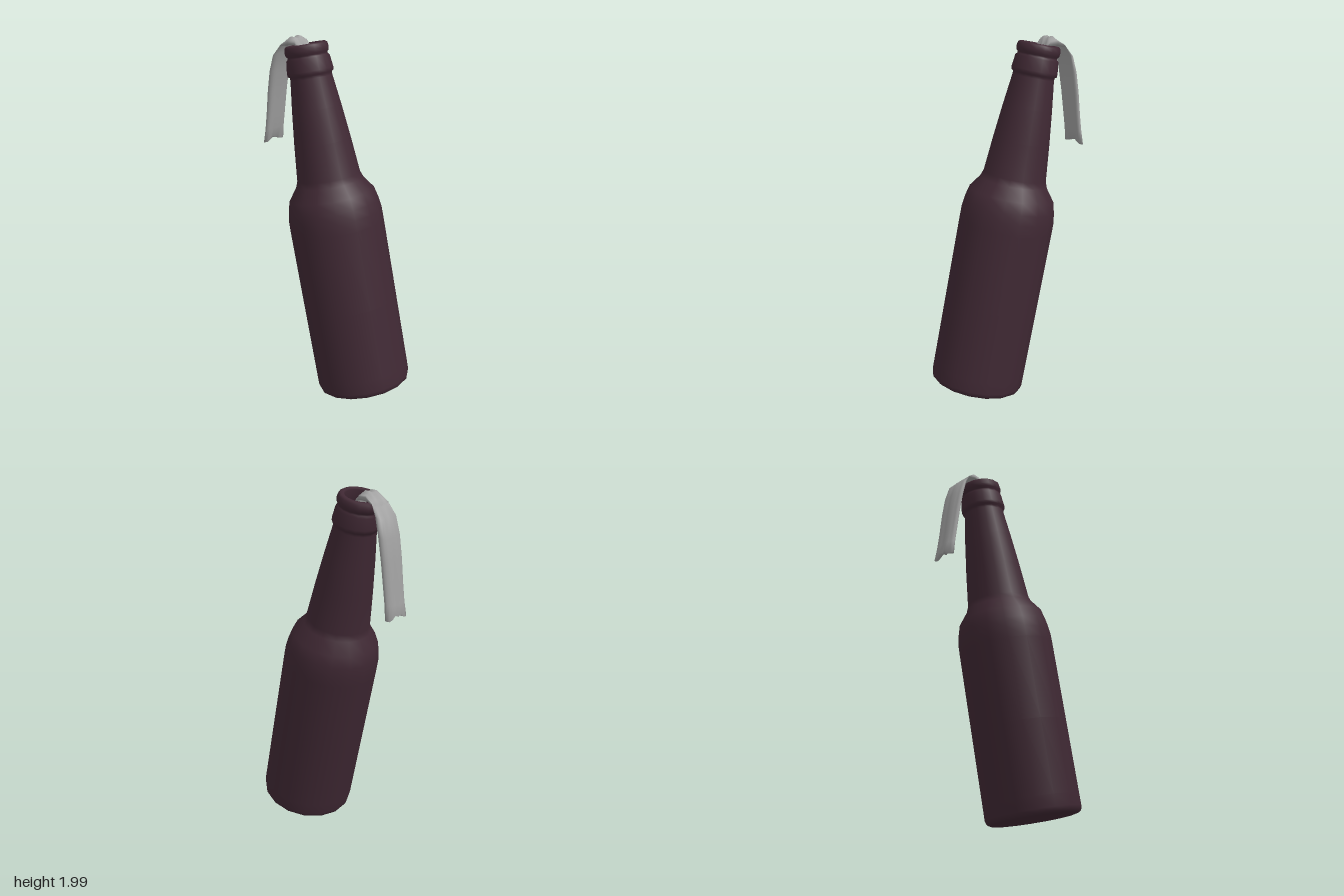
import * as THREE from 'three';

// Bottle profile: [radius, height along the axis], outside up, then down the inside of the neck
const PROFILE = [
  [0, 0], [0.15, 0], [0.225, 0], [0.243, 0.004], [0.256, 0.014], [0.262, 0.035], [0.262, 0.1],
  [0.262, 0.5], [0.262, 0.95], [0.261, 1.01], [0.253, 1.065], [0.237, 1.128], [0.188, 1.195], [0.175, 1.23],
  [0.156, 1.427], [0.135, 1.612], [0.114, 1.775], [0.114, 1.79],
  [0.125, 1.797], [0.126, 1.815], [0.118, 1.878], [0.109, 1.888], [0.109, 1.897],
  [0.117, 1.906], [0.12, 1.925], [0.116, 1.947], [0.106, 1.956],
  [0.09, 1.956], [0.082, 1.948], [0.08, 1.9], [0.085, 1.75], [0.11, 1.6], [0, 1.59],
];

// Rag sections: [z, y, half width, half thickness]
const RAG = [
  [-0.155, 1.76, 0.040, 0.028], [-0.168, 1.86, 0.044, 0.028], [-0.195, 1.93, 0.047, 0.026],
  [-0.235, 1.968, 0.050, 0.023], [-0.285, 1.968, 0.052, 0.022], [-0.335, 1.942, 0.056, 0.023],
  [-0.375, 1.885, 0.066, 0.023], [-0.402, 1.79, 0.069, 0.023], [-0.423, 1.67, 0.068, 0.022],
  [-0.440, 1.54, 0.066, 0.021], [-0.453, 1.45, 0.066, 0.021], [-0.464, 1.395, 0.073, 0.018],
];

function ragGeometry() {
  const sides = 20, pos = [], index = [];
  const last = RAG.length - 1;
  RAG.forEach(([z, y, w, th], i) => {
    const a = RAG[Math.max(i - 1, 0)], b = RAG[Math.min(i + 1, last)];
    const len = Math.hypot(b[0] - a[0], b[1] - a[1]);
    const tz = (b[0] - a[0]) / len, ty = (b[1] - a[1]) / len;
    for (let k = 0; k < sides; k++) {
      const ang = (k / sides) * Math.PI * 2;
      const c = Math.cos(ang), s = Math.sin(ang);
      // folds run along the cloth and are deepest near the mouth
      const fold = (i < 5 ? 0.3 : 0.14) * Math.cos(c * 7 + i * 0.25);
      const n = th * (Math.sign(s) * Math.pow(Math.abs(s), 0.7) + fold);
      // loose corners at the hanging end
      const droop = i === last ? 0.03 * c * c + 0.008 * Math.cos(c * 9) : 0;
      pos.push(w * c, y + tz * n - droop, z - ty * n * -1);
    }
  });
  for (let i = 0; i < last; i++) {
    for (let k = 0; k < sides; k++) {
      const p = i * sides + k, q = i * sides + (k + 1) % sides;
      index.push(p, p + sides, q, q, p + sides, q + sides);
    }
  }
  // end caps
  const [z0, y0] = RAG[0], [z1, y1] = RAG[last];
  pos.push(0, y0, z0, 0, y1 - 0.005, z1);
  const c0 = RAG.length * sides, c1 = c0 + 1;
  for (let k = 0; k < sides; k++) {
    const k2 = (k + 1) % sides;
    index.push(c0, k, k2, c1, last * sides + k2, last * sides + k);
  }
  const g = new THREE.BufferGeometry();
  g.setAttribute('position', new THREE.Float32BufferAttribute(pos, 3));
  g.setIndex(index);
  g.computeVertexNormals();
  return g;
}

export function createModel() {
  const glass = new THREE.MeshStandardMaterial({ color: 0x3f2833 });
  glass.name = 'dark plum glass';
  const cloth = new THREE.MeshStandardMaterial({ color: 0xa0a0a0, side: THREE.DoubleSide });
  cloth.name = 'grey cloth';

  const model = new THREE.Group();
  model.name = 'bottleWithRag';

  // Bottle, leaning back
  const bottle = new THREE.Mesh(
    new THREE.LatheGeometry(PROFILE.map(([r, h]) => new THREE.Vector2(r, h)), 16), glass);
  bottle.name = 'bottle';
  bottle.rotation.x = -THREE.MathUtils.degToRad(13.1);
  bottle.position.set(0, 0.055, 0.243);
  model.add(bottle);

  // Rag stuffed in the mouth and hanging over the back
  const rag = new THREE.Mesh(ragGeometry(), cloth);
  rag.name = 'rag';
  model.add(rag);

  return model;
}
